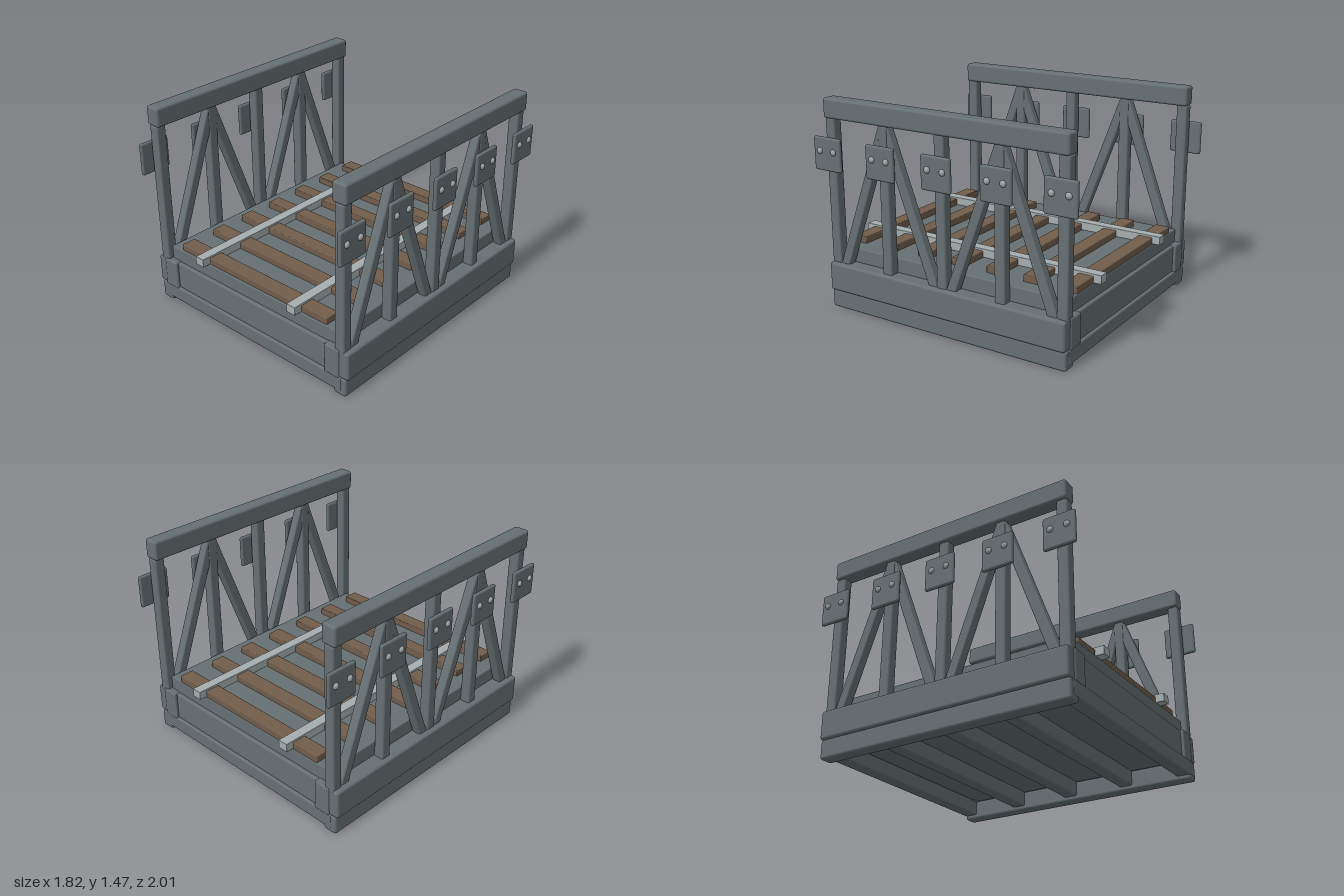
import * as THREE from 'three';
import { RoundedBoxGeometry } from 'three/addons/geometries/RoundedBoxGeometry.js';

export function createModel() {
  const model = new THREE.Group();
  model.name = 'footbridge';
  const paint = (name, color) => {
    const m = new THREE.MeshStandardMaterial({ color });
    m.name = name;
    return m;
  };
  const steel = paint('painted steel', 0x667073);
  const wood = paint('wood', 0x715d4b);
  const strap = paint('light steel', 0xa6aeb0);
  const bolt = paint('bolt metal', 0x9ea5a7);

  // Bevelled box given by its extents
  function block(name, material, [x0, x1], [y0, y1], [z0, z1], bevel = 0.012, parent = model) {
    const geo = new RoundedBoxGeometry(x1 - x0, y1 - y0, z1 - z0, 2, bevel);
    const mesh = new THREE.Mesh(geo, material);
    mesh.position.set((x0 + x1) / 2, (y0 + y1) / 2, (z0 + z1) / 2);
    mesh.name = name;
    parent.add(mesh);
  }
  const around = (c, size) => [c - size / 2, c + size / 2];
  // Extents reaching from a to b, on the side given by s
  const sided = (s, a, b) => (s > 0 ? [a, b] : [-b, -a]);

  // Solid deck body with shallow cross beams underneath
  block('deck', steel, [-0.775, 0.775], [0.135, 0.43], [-0.89, 0.89], 0.008);
  for (const z of [-0.445, 0, 0.445]) {
    block('crossBeam', steel, [-0.78, 0.78], [0.03, 0.145], around(z, 0.1));
  }

  // Wooden treads
  for (let i = -3; i <= 3; i++) {
    block('tread', wood, [-0.67, 0.67], [0.425, 0.477], around(i * 0.277 - 0.003, 0.105), 0.006);
  }

  // Straps lying along the treads
  for (const s of [-1, 1]) {
    block('strap', strap, around(s * 0.424, 0.073), [0.432, 0.491], [-0.943, 0.943], 0.003);
  }

  // End beams and their corner blocks
  for (const s of [-1, 1]) {
    block('endBeam', steel, [-0.77, 0.77], [0.13, 0.33], sided(s, 0.83, 0.915));
    block('lowerEndBeam', steel, [-0.83, 0.83], [0.03, 0.135], sided(s, 0.83, 0.933));
    for (const t of [-1, 1]) {
      block('cornerBlock', steel, sided(t, 0.692, 0.815), [0.125, 0.335], sided(s, 0.82, 0.936));
    }
  }

  // Side frames
  const stations = [-0.89, -0.445, 0, 0.445, 0.89];
  const boltGeo = new THREE.SphereGeometry(0.022, 16, 10);
  for (const s of [-1, 1]) {
    const side = new THREE.Group();
    side.name = s > 0 ? 'leftSide' : 'rightSide';
    model.add(side);
    block('lowerRail', steel, sided(s, 0.765, 0.867), [0, 0.135], [-0.93, 0.93], 0.018, side);
    block('sideBeam', steel, sided(s, 0.765, 0.884), [0.13, 0.33], [-0.928, 0.928], 0.018, side);
    block('handrail', steel, sided(s, 0.758, 0.866), [1.333, 1.47], [-0.93, 0.93], 0.018, side);

    for (const z of stations) {
      block('post', steel, sided(s, 0.775, 0.85), [0.3, 1.337], around(z, 0.076), 0.014, side);

      // Outer plate with two domed bolts
      block('plate', steel, sided(s, 0.862, 0.891), [0.98, 1.21], around(z, 0.228), 0.014, side);
      for (const d of [-0.058, 0.058]) {
        const dome = new THREE.Mesh(boltGeo, bolt);
        dome.position.set(s * 0.89, 1.115, z + d);
        dome.scale.x = 0.8;
        dome.name = 'bolt';
        side.add(dome);
      }
    }

    // Pairs of braces meeting under the handrail
    for (const apex of [-0.445, 0.445]) {
      for (const lean of [-1, 1]) {
        const top = new THREE.Vector3(s * 0.812, 1.32, apex + lean * 0.005);
        const foot = new THREE.Vector3(s * 0.812, 0.25, apex + lean * 0.402);
        const length = top.distanceTo(foot);
        const brace = new THREE.Mesh(new RoundedBoxGeometry(0.066, length, 0.07, 2, 0.012), steel);
        brace.position.addVectors(top, foot).multiplyScalar(0.5);
        brace.rotation.x = Math.atan2(top.z - foot.z, top.y - foot.y);
        brace.name = 'brace';
        side.add(brace);
      }
    }
  }
  return model;
}
